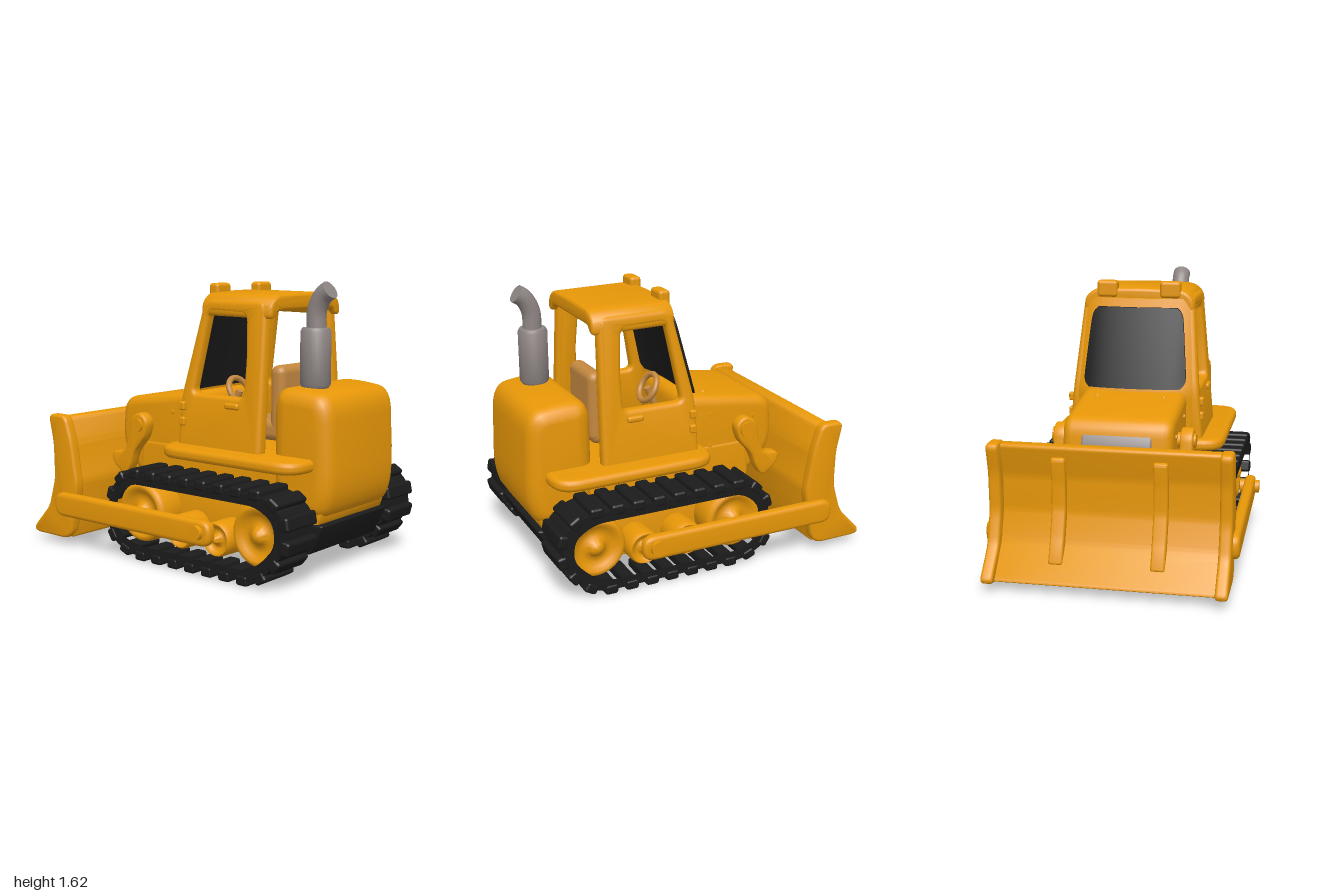
import * as THREE from 'three';
import { toCreasedNormals } from 'three/addons/utils/BufferGeometryUtils.js';
import { RoundedBoxGeometry } from 'three/addons/geometries/RoundedBoxGeometry.js';

const material = (name, color) => {
  const m = new THREE.MeshStandardMaterial({ color });
  m.name = name;
  return m;
};

// Closed outline with softened corners
function outline(points, r, target = new THREE.Shape()) {
  const P = points.map(([x, y]) => new THREE.Vector2(x, y));
  const n = P.length;
  P.forEach((p, i) => {
    const toward = (q) => p.clone().lerp(q, Math.min(0.45, r / p.distanceTo(q)));
    const a = toward(P[(i + n - 1) % n]), b = toward(P[(i + 1) % n]);
    if (i === 0) target.moveTo(a.x, a.y);
    else target.lineTo(a.x, a.y);
    target.quadraticCurveTo(p.x, p.y, b.x, b.y);
  });
  target.closePath();
  return target;
}

// Side profile extruded to a total width, centred on z = 0
function slab(shape, width, bevel) {
  const g = new THREE.ExtrudeGeometry(shape, {
    depth: width - 2 * bevel, bevelEnabled: bevel > 0, bevelSize: bevel, bevelThickness: bevel,
    bevelOffset: -bevel, bevelSegments: 4, curveSegments: 6,
  });
  g.translate(0, 0, bevel - width / 2);
  return toCreasedNormals(g, 0.65);
}

const box = (w, h, d, r) => new RoundedBoxGeometry(w, h, d, 3, r);

export function createModel() {
  const group = new THREE.Group();
  group.name = 'bulldozer';
  const yellow = material('body yellow', 0xea9908);
  const black = material('rubber black', 0x1b1b1b);
  const grey = material('exhaust grey', 0x8f8685);
  const tan = material('seat tan', 0xc48840);

  const add = (name, geo, mat, x = 0, y = 0, z = 0) => {
    const m = new THREE.Mesh(geo, mat);
    m.name = name;
    m.position.set(x, y, z);
    group.add(m);
    return m;
  };
  const pair = (name, geo, mat, x, y, z) => [1, -1].map((s) => {
    const m = add(name, geo, mat, x, y, s * z);
    if (s < 0) m.rotation.y = geo.userData.flip ? Math.PI : 0;
    return m;
  });
  const bolt = (r, len) => new THREE.CylinderGeometry(r * 0.88, r, len, 20).rotateX(Math.PI / 2);

  // Chassis, hood and rear engine cover
  add('chassis', slab(outline([[-0.42, 0.42], [-0.2, 0.16], [0.8, 0.16], [0.93, 0.36], [0.94, 0.66], [-0.4, 0.66]], 0.05), 0.64, 0.02), yellow);
  add('hood', slab(outline([[-0.55, 0.55], [-0.59, 0.66], [-0.57, 0.905], [0.02, 0.985], [0.02, 0.42], [-0.4, 0.42]], 0.09), 0.63, 0.055), yellow);
  add('engineCover', slab(outline([[0.605, 0.37], [0.605, 1.055], [0.78, 1.06], [0.98, 1.03], [1.0, 0.5], [0.93, 0.34]], 0.14), 0.7, 0.085), yellow);
  add('grille', slab(outline([[-0.57, 0.59], [-0.61, 0.65], [-0.606, 0.76], [-0.57, 0.84], [-0.54, 0.84], [-0.54, 0.59]], 0.05), 0.4, 0.012), grey);
  add('rearBumper', slab(outline([[0.95, 0.33], [0.86, 0.155], [0.72, 0.155], [0.72, 0.33]], 0.02), 0.655, 0.012), black);

  // Fenders and floor
  const fender = slab(outline([[-0.085, -0.54], [0.9, -0.54], [0.9, 0.54], [-0.085, 0.54]], 0.15), 0.07, 0.03);
  add('fenders', fender.rotateX(-Math.PI / 2), yellow, 0, 0.655, 0);

  // Cab side walls with window holes, leaning inward
  for (const s of [1, -1]) {
    const wall = outline([[-0.03, 0.64], [-0.02, 0.97], [0.115, 1.525], [0.56, 1.52], [0.575, 0.64]], 0.06);
    wall.holes.push(outline([[0.065, 0.985], [0.435, 0.985], [0.44, 1.2], [0.425, 1.445], [0.155, 1.455]], 0.04, new THREE.Path()));
    const g = slab(wall, 0.075, 0.025);
    const p = g.attributes.position;
    for (let i = 0; i < p.count; i++) p.setZ(i, p.getZ(i) + s * (0.376 - 0.09 * (p.getY(i) - 0.64)));
    add('cabSide', toCreasedNormals(g, 0.65), yellow);
  }

  // Bowed front panels that lean back above the hood and wrap round the corners
  const bowed = (y0, y1, half, thick, dx, round) => {
    const g = new THREE.BoxGeometry(thick, 2, 2, 1, 24, 20);
    const p = g.attributes.position;
    for (let i = 0; i < p.count; i++) {
      const t = p.getY(i), y = y0 + (y1 - y0) * (t + 1) / 2;
      const z = p.getZ(i) * (half - 0.09 * (y - y0)) * (1 - round * Math.pow(Math.abs(t), 10));
      const x = -0.085 + Math.max(0, y - 0.96) * 0.28 + 0.03 * (z / 0.33) ** 2 + 0.05 * (z / 0.38) ** 6;
      p.setXYZ(i, p.getX(i) + x + dx, y, z);
    }
    return toCreasedNormals(g.toNonIndexed(), 0.65);
  };
  add('cabFront', bowed(0.64, 1.51, 0.4, 0.03, 0.015, 0), yellow);
  add('windshield', bowed(0.99, 1.46, 0.315, 0.06, 0.012, 0.12), black);

  // Arched roof, lamps, handles and hinges
  const arch = outline([[-0.34, 1.43], [-0.332, 1.51], [-0.27, 1.56], [0, 1.566], [0.27, 1.56], [0.332, 1.51], [0.34, 1.43],
    [0.29, 1.43], [0.26, 1.472], [-0.26, 1.472], [-0.29, 1.43]], 0.05);
  add('roof', slab(arch, 0.5, 0.02).rotateY(Math.PI / 2), yellow, 0.328, 0, 0).rotation.z = -0.012;
  pair('roofLamp', box(0.07, 0.1, 0.125, 0.02), yellow, 0.117, 1.563, 0.192);
  pair('doorHandle', box(0.1, 0.036, 0.03, 0.014), yellow, 0.37, 0.936, 0.393);
  for (const y of [0.82, 0.91]) pair('hinge', box(0.04, 0.05, 0.03, 0.01), yellow, 0.01, y, 0.4);
  for (const [x, y] of [[-0.15, 0.85], [-0.15, 0.66], [-0.45, 0.8]]) pair('hoodBolt', bolt(0.014, 0.03), yellow, x, y, 0.31);
  pair('hoodTopBolt', new THREE.SphereGeometry(0.017, 12, 8), yellow, -0.16, 0.955, 0.2);

  // Seat and steering wheel
  add('seatBack', box(0.1, 0.42, 0.33, 0.045), tan, 0.5, 0.945, 0);
  add('seatCushion', box(0.3, 0.12, 0.33, 0.045), tan, 0.39, 0.78, 0);
  add('steeringWheel', new THREE.TorusGeometry(0.085, 0.018, 10, 28).rotateY(Math.PI / 2), tan, 0.105, 0.967, 0).rotation.z = 0.5;
  add('steeringColumn', new THREE.CylinderGeometry(0.022, 0.022, 0.3, 14), tan, 0.05, 0.83, 0).rotation.z = -0.4;

  // Exhaust: muffler and bent pipe with a flat mouth
  const muffler = [[0, 0], [0.072, 0], [0.085, 0.02], [0.085, 0.31], [0.075, 0.33], [0, 0.335]].map(([x, y]) => new THREE.Vector2(x, y));
  add('muffler', toCreasedNormals(new THREE.LatheGeometry(muffler, 28).toNonIndexed(), 0.65), grey, 0.765, 1.05, 0.15);
  const bend = new THREE.CatmullRomCurve3([[0.768, 1.36], [0.768, 1.46], [0.785, 1.515], [0.815, 1.56], [0.855, 1.587]].map(([x, y]) => new THREE.Vector3(x, y, 0.15)));
  add('exhaustPipe', new THREE.TubeGeometry(bend, 24, 0.054, 20), grey);
  const mouth = add('exhaustMouth', new THREE.CircleGeometry(0.054, 20), grey);
  mouth.position.copy(bend.getPoint(1));
  mouth.lookAt(mouth.position.clone().add(bend.getTangent(1)));

  // Track belts with cleats spaced along their path
  const loop = [[-0.25, 0.517], [0.77, 0.517], [0.905, 0.43], [0.92, 0.25], [0.8, 0.1], [0.69, 0.038], [-0.21, 0.038], [-0.35, 0.1], [-0.395, 0.22], [-0.365, 0.41]];
  const scaled = (kx, ky) => loop.map(([x, y]) => [0.265 + (x - 0.265) * kx, 0.283 + (y - 0.283) * ky]);
  const belt = outline(loop, 0.06);
  const cleatCount = 25;
  const cleat = box(0.078, 0.06, 0.27, 0.016);
  for (let i = 0; i < cleatCount; i++) {
    const u = i / cleatCount, p = belt.getPointAt(u), t = belt.getTangentAt(u);
    pair('trackCleat', cleat, black, p.x, p.y, 0.495).forEach((m) => { m.rotation.z = Math.atan2(t.y, t.x); });
  }
  belt.holes.push(outline(scaled(0.9, 0.75), 0.06, new THREE.Path()));
  pair('trackBelt', slab(belt, 0.26, 0), black, 0, 0, 0.495);

  // Track frames, dished wheels and rollers
  pair('trackFrame', slab(outline(scaled(0.89, 0.7), 0.05), 0.08, 0.01), yellow, 0, 0, 0.36);
  const wheel = (r, w) => {
    const pts = [[0, -w], [r * 0.95, -w], [r, -w * 0.8], [r, w * 0.5], [r * 0.97, w * 0.7], [r * 0.9, w * 0.83], [r * 0.8, w * 0.82], [r * 0.68, w * 0.66],
      [r * 0.52, w * 0.54], [r * 0.36, w * 0.56], [r * 0.26, w * 0.72], [r * 0.18, w * 0.92], [0, w]].map(([x, y]) => new THREE.Vector2(x, y));
    const g = toCreasedNormals(new THREE.LatheGeometry(pts, 36).toNonIndexed(), 0.95).rotateX(Math.PI / 2);
    g.userData.flip = true;
    return g;
  };
  const bigWheel = wheel(0.177, 0.11), roller = wheel(0.1, 0.1);
  for (const x of [-0.18, 0.69]) pair('trackWheel', bigWheel, yellow, x, 0.28, 0.48);
  for (const x of [0.12, 0.39]) pair('roller', roller, yellow, x, 0.21, 0.48);

  // Push arms with pivot pins
  pair('pushArm', slab(outline([[-0.77, 0.2], [0.465, 0.2], [0.465, 0.345], [-0.77, 0.345]], 0.07), 0.065, 0.025), yellow, 0, 0, 0.677)
    .forEach((m, i) => { m.rotation.y = i ? -0.009 : 0.009; });
  pair('pushArmPin', bolt(0.045, 0.12), yellow, 0.385, 0.28, 0.672);

  // Lift links beside the hood
  const link = outline([[-0.58, 0.58], [-0.57, 0.51], [-0.47, 0.435], [-0.42, 0.5], [-0.385, 0.6], [-0.3, 0.69], [-0.275, 0.79], [-0.34, 0.845], [-0.42, 0.8], [-0.435, 0.68], [-0.47, 0.59]], 0.04);
  pair('liftLink', slab(link, 0.075, 0.015), yellow, 0, 0, 0.37);
  pair('liftPin', bolt(0.045, 0.13), yellow, -0.35, 0.76, 0.355);

  // Blade: concave plate, end caps and front ribs
  const plate = outline([[-0.79, 0.805], [-0.7, 0.805], [-0.655, 0.66], [-0.61, 0.42], [-0.635, 0.25], [-0.67, 0.06], [-0.965, 0.06], [-0.8, 0.25], [-0.745, 0.42], [-0.745, 0.62]], 0.03);
  add('bladePlate', slab(plate, 1.28, 0.008), yellow);
  const cap = outline([[-0.85, 0.815], [-0.7, 0.815], [-0.65, 0.66], [-0.605, 0.4], [-0.63, 0.25], [-0.66, 0.09], [-0.71, 0.055], [-0.99, 0.055], [-1.005, 0.09], [-0.86, 0.24], [-0.805, 0.42], [-0.81, 0.64]], 0.045);
  pair('bladeEndCap', slab(cap, 0.07, 0.018), yellow, 0, 0, 0.645);
  const rib = outline([[-0.8, 0.74], [-0.7, 0.74], [-0.7, 0.13], [-0.89, 0.155], [-0.83, 0.3], [-0.785, 0.45], [-0.785, 0.6]], 0.025);
  pair('bladeRib', slab(rib, 0.08, 0.012), yellow, 0, 0, 0.285);

  return group;
}
